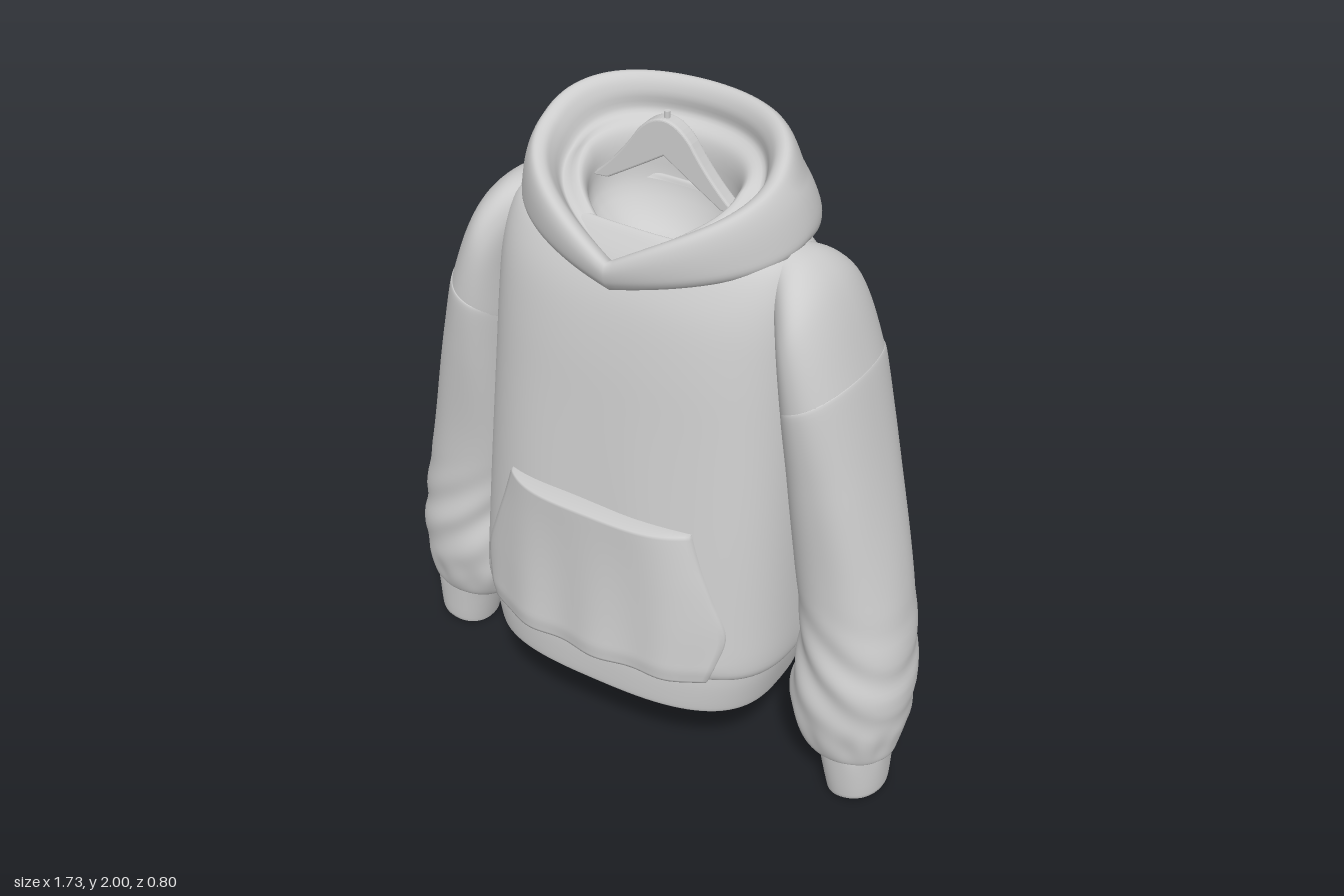
import * as THREE from 'three';

const fabric = new THREE.MeshStandardMaterial({ color: 0xcccccc, side: THREE.DoubleSide });
fabric.name = 'light grey fabric';
const SEG = 96;
const spow = (v, p) => Math.sign(v) * Math.pow(Math.abs(v), p);
const bump = (v, a, b) => THREE.MathUtils.smoothstep(v, a, (a + b) / 2) * (1 - THREE.MathUtils.smoothstep(v, (a + b) / 2, b));

// Smoothly subdivide a list of section parameters
function densify(rows, n) {
  const out = [];
  for (let i = 0; i < rows.length - 1; i++) {
    const [a, b, c, d] = [rows[Math.max(i - 1, 0)], rows[i], rows[i + 1], rows[Math.min(i + 2, rows.length - 1)]];
    for (let k = 0; k < n; k++) {
      const t = k / n;
      out.push(b.map((p, j) => {
        const cubic = 3 * (p - c[j]) + d[j] - a[j];
        const square = 2 * a[j] - 5 * p + 4 * c[j] - d[j];
        return p + 0.5 * t * (c[j] - a[j] + t * (square + t * cubic));
      }));
    }
  }
  out.push(rows[rows.length - 1]);
  return out;
}

// Skin a list of sections, each a list of [x, y, z]
function loft(name, sections, closed = true) {
  const m = sections[0].length, index = [];
  for (let i = 0; i < sections.length - 1; i++) {
    for (let j = 0; j < (closed ? m : m - 1); j++) {
      const k = (j + 1) % m, a = i * m + j, b = i * m + k, c = a + m, d = b + m;
      index.push(a, b, c, b, d, c);
    }
  }
  const g = new THREE.BufferGeometry();
  g.setAttribute('position', new THREE.Float32BufferAttribute(sections.flat(2), 3));
  g.setIndex(index);
  g.computeVertexNormals();
  const mesh = new THREE.Mesh(g, fabric);
  mesh.name = name;
  return mesh;
}

const ring = f => Array.from({ length: SEG }, (_, j) => f(j / SEG * Math.PI * 2));

// Body sections: y, half width, front z, back z
const N = 2.8;
const BODY = [
  [0.415, 0.475, 0.345, -0.275], [0.43, 0.50, 0.364, -0.315], [0.48, 0.512, 0.368, -0.33],
  [0.62, 0.51, 0.354, -0.335], [0.9, 0.5, 0.325, -0.335], [1.2, 0.487, 0.29, -0.33],
  [1.4, 0.478, 0.265, -0.32], [1.55, 0.47, 0.235, -0.295], [1.65, 0.455, 0.195, -0.255],
  [1.71, 0.42, 0.155, -0.205], [1.735, 0.33, 0.13, -0.17], [1.72, 0.23, 0.12, -0.16],
];
const HEM = [
  [0.34, 0.44, 0.335, -0.25], [0.298, 0.445, 0.34, -0.255], [0.286, 0.455, 0.352, -0.265],
  [0.302, 0.463, 0.358, -0.272], [0.38, 0.48, 0.36, -0.28], [0.43, 0.487, 0.357, -0.285],
];

function bodyRing([y, w, zf, zb]) {
  return ring(a => {
    const c = Math.cos(a), x = w * spow(Math.sin(a), 2 / N);
    let z = (zf + zb) / 2 + (zf - zb) / 2 * spow(c, 2 / N);
    // hanging folds, strongest at the back
    const fold = bump(y, 0.40, 1.5) * Math.abs(c);
    z += fold * (c < 0 ? 0.012 * Math.sin(x * 26 + y) : 0.003 * Math.sin(x * 17));
    return [x, y + (y < 0.5 ? 0.018 * c * c + 0.006 * Math.sin(x * 24) * bump(y, 0.4, 0.55) : 0), z];
  });
}

function bodyFront(x, y) {
  let i = 1;
  while (i < 8 && BODY[i + 1][0] < y) i++;
  const t = (y - BODY[i][0]) / (BODY[i + 1][0] - BODY[i][0]);
  const [w, zf, zb] = [1, 2, 3].map(k => THREE.MathUtils.lerp(BODY[i][k], BODY[i + 1][k], t));
  return (zf + zb) / 2 + (zf - zb) / 2 * Math.pow(Math.max(0, 1 - Math.pow(Math.abs(x / w), N)), 1 / N);
}

// Pouch pocket: a puffed panel following the front, with turned-in edges
function pocket() {
  const outline = densify([[0.435, 0.37], [0.5, 0.392], [0.6, 0.41], [0.72, 0.37], [0.83, 0.33], [0.93, 0.30]], 6);
  const rows = [outline[0], ...outline, outline[outline.length - 1]];
  const cols = 60;
  const sections = rows.map(([y, hw], r) => Array.from({ length: cols + 1 }, (_, j) => {
    const edge = r === 0 || r === rows.length - 1 || j === 0 || j === cols;
    const u = THREE.MathUtils.clamp((j - 1) / (cols - 2), 0, 1) * 2 - 1;
    const x = u * hw - 0.008;
    const v = (y - 0.43) / 0.5;
    const inside = 1 - u ** 4;
    const puff = 0.012 + inside * (0.012 + 0.034 * v * v) + 0.009 * inside * (1 - v) * Math.sin(x * 26 + 1);
    return [x, y + 0.008 * (1 - u * u) * v, bodyFront(x, y) + (edge ? -0.004 : puff)];
  }));
  return loft('pocket', sections, false);
}

// Sleeve sections: inner x, y, outer x, y, front z, back z
const CAP = [
  [0.38, 1.60, 0.42, 1.728, 0.07, -0.12], [0.41, 1.52, 0.475, 1.71, 0.125, -0.175],
  [0.425, 1.45, 0.535, 1.655, 0.165, -0.22], [0.43, 1.38, 0.588, 1.555, 0.18, -0.24],
  [0.435, 1.29, 0.645, 1.40, 0.184, -0.247], [0.44, 1.28, 0.648, 1.385, 0.178, -0.24],
];
const SLEEVE = [
  [0.445, 1.30, 0.636, 1.405, 0.176, -0.238], [0.437, 1.285, 0.649, 1.39, 0.188, -0.251],
  [0.455, 1.05, 0.72, 1.11, 0.168, -0.235], [0.48, 0.8, 0.788, 0.83, 0.147, -0.218],
  [0.51, 0.6, 0.835, 0.6, 0.145, -0.2], [0.515, 0.45, 0.858, 0.45, 0.156, -0.188],
  [0.50, 0.34, 0.862, 0.32, 0.158, -0.17], [0.53, 0.225, 0.848, 0.225, 0.145, -0.148],
  [0.57, 0.155, 0.835, 0.172, 0.126, -0.115], [0.63, 0.15, 0.81, 0.172, 0.10, -0.07],
];
const CUFF = [
  [0.60, 0.18, 0.83, 0.20, 0.122, -0.09], [0.615, 0.14, 0.828, 0.16, 0.122, -0.092],
  [0.645, 0.015, 0.822, 0.045, 0.112, -0.083], [0.651, 0.0, 0.815, 0.035, 0.104, -0.075],
  [0.66, 0.012, 0.807, 0.045, 0.095, -0.066], [0.64, 0.13, 0.80, 0.15, 0.09, -0.06],
  [0.719, 0.14, 0.721, 0.14, 0.016, 0.014],
];

function sleeveRing([xi, yi, xo, yo, zf, zb], side) {
  const shift = side * 0.028 * THREE.MathUtils.clamp(1.1 - yi, 0, 1);
  return ring(a => {
    const c = spow(Math.cos(a), 0.92), s = spow(Math.sin(a), 0.92);
    const y = (yi + yo) / 2 + (yo - yi) / 2 * c;
    // slanting creases gathered above the cuff
    const k = 1 + 0.035 * bump(y, 0.17, 0.75) * Math.sin(y * 38 + c * 5 + s * 2)
      + 0.03 * bump(y, 0.14, 0.32) * Math.sin(a * 9)
      + 0.012 * bump(y, 0.5, 1.4) * Math.sin(a * 5 + y * 3);
    const x = (xi + xo) / 2 + (xo - xi) / 2 * c * (c > 0 ? Math.min(k, 1.01) : k);
    return [side * x, y, (zf + zb) / 2 + (zf - zb) / 2 * s * k + shift];
  });
}

// Hood sections: half width, front z, back z, then y at front, sides and back
const HOOD = [
  [0.35, 0.19, -0.29, 1.62, 1.70, 1.49], [0.405, 0.235, -0.335, 1.598, 1.712, 1.458],
  [0.43, 0.258, -0.378, 1.62, 1.735, 1.51], [0.428, 0.268, -0.4, 1.645, 1.78, 1.63],
  [0.408, 0.27, -0.365, 1.668, 1.85, 1.80], [0.382, 0.262, -0.305, 1.685, 1.898, 1.955],
  [0.36, 0.245, -0.265, 1.688, 1.918, 2.0], [0.33, 0.222, -0.24, 1.675, 1.908, 1.988],
  [0.31, 0.2, -0.228, 1.65, 1.87, 1.95], [0.29, 0.18, -0.235, 1.632, 1.82, 1.9],
  [0.245, 0.145, -0.2, 1.645, 1.84, 1.87], [0.222, 0.125, -0.185, 1.62, 1.80, 1.82],
  [0.21, 0.12, -0.175, 1.6, 1.69, 1.70], [0.12, 0.06, -0.11, 1.58, 1.6, 1.6],
  [0.002, 0.0, -0.004, 1.57, 1.57, 1.57],
];

function hoodRing([w, zf, zb, yf, ys, yb]) {
  return ring(a => {
    const s = Math.abs(Math.sin(a)), c = Math.cos(a);
    // V at the front, slanted rim and pointed lower seam at the back
    const front = 0.5 * c + 0.5 * (1 - s) ** 2;
    const back = yb > ys ? 1 - (1 + c) ** 2 : 1 - Math.pow(s, 1.4);
    const y = c > 0 ? ys + (yf - ys) * front : ys + (yb - ys) * back;
    return [w * Math.sin(a), y, (zf + zb) / 2 + (zf - zb) / 2 * c];
  });
}

// Hanger: arched shoulder bar with a short neck
function hanger() {
  const group = new THREE.Group();
  group.name = 'hanger';
  const s = new THREE.Shape();
  s.moveTo(-0.22, 1.76);
  s.quadraticCurveTo(-0.14, 1.83, -0.08, 1.925);
  s.quadraticCurveTo(0, 2.025, 0.08, 1.925);
  s.quadraticCurveTo(0.14, 1.83, 0.22, 1.76);
  s.lineTo(0.18, 1.765);
  s.quadraticCurveTo(0.06, 1.84, 0, 1.88);
  s.quadraticCurveTo(-0.06, 1.84, -0.18, 1.765);
  const bar = new THREE.Mesh(new THREE.ExtrudeGeometry(s, {
    depth: 0.03, bevelEnabled: true, bevelSize: 0.006, bevelThickness: 0.008, bevelSegments: 3, curveSegments: 16,
  }), fabric);
  bar.position.z = -0.067;
  bar.name = 'hangerBar';
  const neck = new THREE.Mesh(new THREE.CylinderGeometry(0.009, 0.009, 0.05, 16), fabric);
  neck.position.set(0, 1.975, -0.05);
  neck.name = 'hangerNeck';
  group.add(bar, neck);
  return group;
}

export function createModel() {
  const model = new THREE.Group();
  model.name = 'hoodedSweatshirt';
  model.add(loft('body', densify(BODY, 5).map(bodyRing)));
  model.add(loft('hem', densify(HEM, 3).map(bodyRing)));
  model.add(pocket());
  for (const side of [1, -1]) {
    const arm = new THREE.Group();
    arm.name = side > 0 ? 'leftSleeve' : 'rightSleeve';
    const part = (name, rows, n) => arm.add(loft(name, densify(rows, n).map(r => sleeveRing(r, side))));
    part('shoulderCap', CAP, 4);
    part('sleeve', SLEEVE, 8);
    part('cuff', CUFF, 3);
    model.add(arm);
  }
  model.add(loft('hood', densify(HOOD, 4).map(hoodRing)));
  model.add(hanger());
  return model;
}
